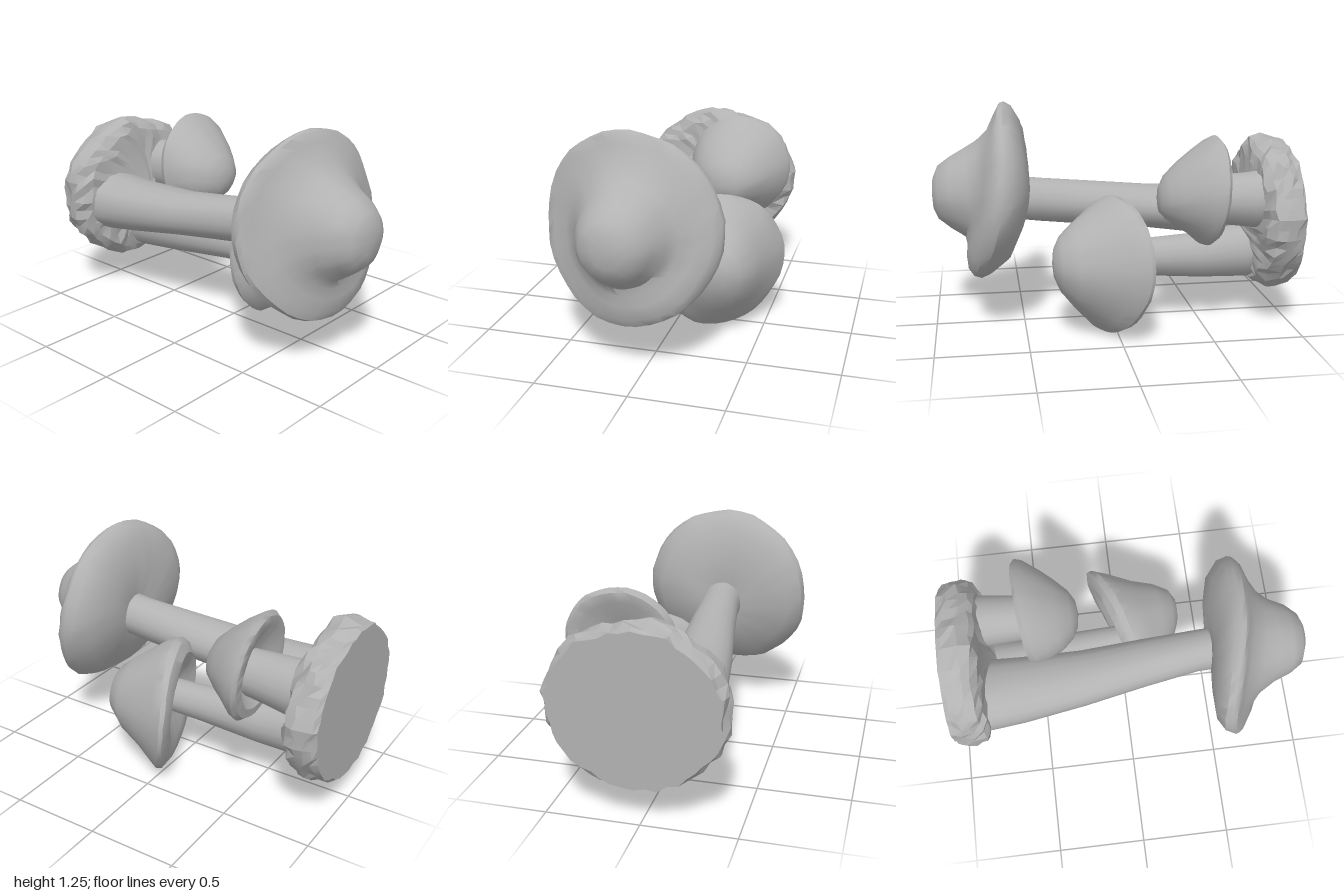
import * as THREE from 'three';
import { toCreasedNormals } from 'three/addons/utils/BufferGeometryUtils.js';

const stone = new THREE.MeshStandardMaterial({ color: 0xb2b2b2 });
stone.name = 'stoneGrey';

// Repeatable value in -1..1
const hash = (a, b) => {
  const s = Math.sin(a * 127.1 + b * 311.7) * 43758.5453;
  return 2 * (s - Math.floor(s)) - 1;
};

// Skin over rings listed front (+z) to back.
// ring: [x, y, z, radiusX, radiusY, tiltX, tiltY, saddle]
function loft(name, rings, { n = 40, wobble = 0.006, rough = 0.007, crease = 0.7 } = {}) {
  const pos = [], index = [];
  rings.forEach(([x, y, z, rx, ry, tx = 0, ty = 0, saddle = 0], i) => {
    for (let j = 0; j < n; j++) {
      const t = j / n * Math.PI * 2, c = Math.cos(t), s = Math.sin(t);
      const k = 1 + wobble * (Math.sin(3 * t + 1) + Math.sin(7 * t + 2)) + rough * hash(i + 1, j);
      // Bumps fade towards the tip so it stays round
      const dz = z <= -1 ? 0 : rough * rx * hash(j, i + 20);
      pos.push(x + rx * c * k, y + ry * s * k,
        Math.max(-1, z + tx * c + ty * s + saddle * Math.cos(2 * t) + dz));
    }
  });
  for (let i = 0; i < rings.length - 1; i++) {
    for (let j = 0; j < n; j++) {
      const a = i * n + j, d = i * n + (j + 1) % n, b = a + n, c = d + n;
      if (rings[i + 1][3] > 0) index.push(a, b, c);
      if (rings[i][3] > 0) index.push(a, c, d);
    }
  }
  const g = new THREE.BufferGeometry();
  g.setAttribute('position', new THREE.Float32BufferAttribute(pos, 3));
  g.setIndex(index);
  const mesh = new THREE.Mesh(toCreasedNormals(g, crease), stone);
  mesh.name = name;
  return mesh;
}

function mushroom(name, cap, stem) {
  const group = new THREE.Group();
  group.name = name;
  group.add(loft(name + 'Cap', cap), loft(name + 'Stem', stem, { n: 20, wobble: 0.012 }));
  return group;
}

export function createModel() {
  const model = new THREE.Group();
  model.name = 'mushroomCluster';

  // Tall mushroom with a wide flared brim
  model.add(mushroom('tall', [
    [-0.09, 0.75, 1.0, 0, 0],
    [-0.09, 0.75, 0.993, 0.08, 0.085],
    [-0.10, 0.75, 0.965, 0.145, 0.15],
    [-0.095, 0.75, 0.9, 0.195, 0.2],
    [-0.09, 0.745, 0.81, 0.235, 0.25, 0, 0, -0.01],
    [-0.09, 0.745, 0.755, 0.285, 0.295, 0.025, -0.03, -0.025],
    [-0.09, 0.75, 0.71, 0.36, 0.36, 0.055, -0.065, -0.035],
    [-0.09, 0.755, 0.68, 0.44, 0.44, 0.06, -0.08, -0.04],
    [-0.095, 0.757, 0.65, 0.485, 0.488, 0.055, -0.08, -0.045],
    [-0.095, 0.757, 0.62, 0.493, 0.497, 0.05, -0.07, -0.045],
    [-0.095, 0.757, 0.575, 0.475, 0.475, 0.045, -0.065, -0.045],
    [-0.095, 0.75, 0.515, 0.4, 0.4, 0.03, -0.045, -0.035],
    [-0.09, 0.74, 0.48, 0.25, 0.25, 0.01, -0.03, -0.02],
    [-0.085, 0.71, 0.475, 0.13, 0.13, 0, -0.01, -0.01],
    [-0.085, 0.71, 0.5, 0, 0],
  ], [
    [-0.085, 0.71, 0.52, 0, 0],
    [-0.085, 0.71, 0.52, 0.115, 0.125],
    [-0.085, 0.695, 0.4, 0.115, 0.125],
    [-0.11, 0.66, 0.1, 0.135, 0.127],
    [-0.145, 0.62, -0.25, 0.16, 0.127],
    [-0.165, 0.59, -0.6, 0.19, 0.15],
    [-0.17, 0.58, -0.83, 0.205, 0.175],
    [-0.17, 0.58, -0.83, 0, 0],
  ]));

  // Low mushroom, its cap turned to one side with a rolled, hollow underside
  model.add(mushroom('low', [
    [0.28, 0.42, 0.36, 0, 0],
    [0.28, 0.42, 0.35, 0.07, 0.08],
    [0.27, 0.41, 0.315, 0.145, 0.155, -0.005, 0],
    [0.245, 0.39, 0.24, 0.22, 0.235, -0.02, 0],
    [0.22, 0.385, 0.15, 0.275, 0.305, -0.05, -0.015, -0.01],
    [0.22, 0.385, 0.07, 0.33, 0.36, -0.1, -0.03, -0.025],
    [0.225, 0.385, 0.015, 0.355, 0.384, -0.12, -0.04, -0.03],
    [0.225, 0.385, -0.02, 0.345, 0.37, -0.115, -0.04, -0.02],
    [0.22, 0.385, -0.045, 0.29, 0.315, -0.1, -0.035, -0.01],
    [0.2, 0.39, -0.02, 0.21, 0.23, -0.08, -0.02],
    [0.165, 0.395, 0.04, 0.13, 0.14, -0.03, 0],
    [0.14, 0.395, 0.08, 0, 0],
  ], [
    [0.145, 0.395, 0.11, 0, 0],
    [0.145, 0.395, 0.11, 0.09, 0.095],
    [0.13, 0.39, -0.15, 0.095, 0.105],
    [0.1, 0.38, -0.5, 0.11, 0.13],
    [0.07, 0.39, -0.75, 0.135, 0.155],
    [0.06, 0.4, -0.83, 0.15, 0.165],
    [0.06, 0.4, -0.83, 0, 0],
  ]));

  // Short mushroom close to the base
  model.add(mushroom('short', [
    [0.2, 0.735, -0.235, 0, 0],
    [0.2, 0.74, -0.245, 0.075, 0.075],
    [0.195, 0.75, -0.28, 0.14, 0.125],
    [0.195, 0.765, -0.35, 0.205, 0.185, 0, -0.01],
    [0.205, 0.78, -0.42, 0.25, 0.235, 0, -0.02],
    [0.23, 0.785, -0.49, 0.29, 0.29, -0.02, -0.035],
    [0.23, 0.785, -0.52, 0.3, 0.304, -0.025, -0.035],
    [0.23, 0.785, -0.55, 0.28, 0.28, -0.015, -0.025],
    [0.225, 0.78, -0.55, 0.23, 0.23, -0.015, -0.02],
    [0.22, 0.75, -0.49, 0.145, 0.145],
    [0.22, 0.745, -0.47, 0, 0],
  ], [
    [0.215, 0.735, -0.44, 0, 0],
    [0.215, 0.735, -0.44, 0.12, 0.125],
    [0.22, 0.73, -0.6, 0.13, 0.14],
    [0.225, 0.725, -0.75, 0.142, 0.155],
    [0.225, 0.725, -0.83, 0.15, 0.165],
    [0.225, 0.725, -0.83, 0, 0],
  ]));

  // Rough rocky base with a flat back
  model.add(loft('base', [
    [0.05, 0.58, -0.73, 0, 0],
    [0.05, 0.58, -0.755, 0.12, 0.11],
    [0.03, 0.6, -0.785, 0.25, 0.23],
    [0.03, 0.61, -0.79, 0.35, 0.32],
    [0.03, 0.612, -0.8, 0.41, 0.375],
    [0.03, 0.612, -0.83, 0.455, 0.415],
    [0.03, 0.612, -0.88, 0.475, 0.438],
    [0.03, 0.612, -0.93, 0.47, 0.43],
    [0.03, 0.612, -0.97, 0.455, 0.42],
    [0.03, 0.615, -1, 0.445, 0.41],
    [0.03, 0.615, -1, 0, 0],
  ], { n: 48, wobble: 0.012, rough: 0.032, crease: 0.25 }));

  return model;
}
